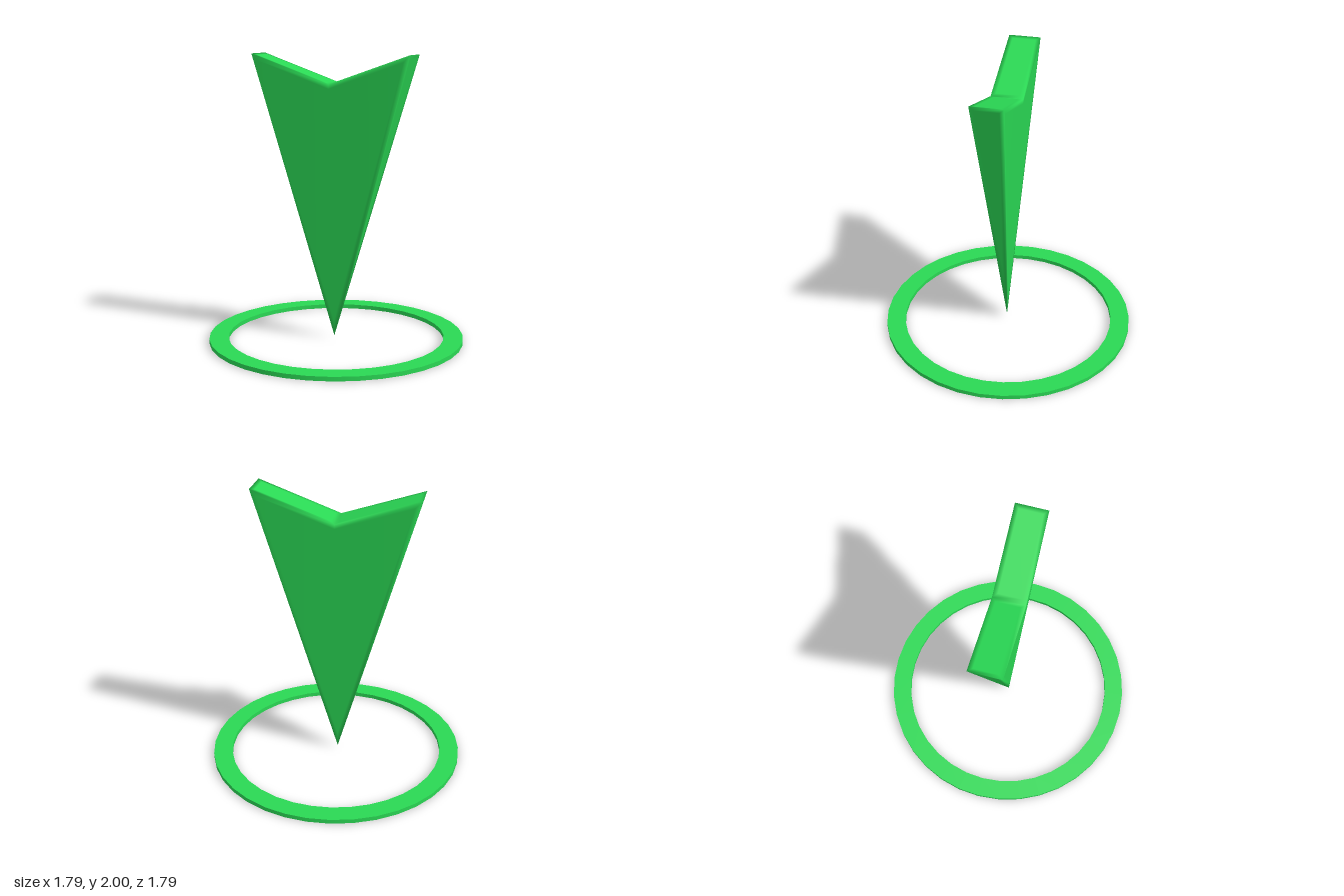
import * as THREE from 'three';
import { mergeVertices } from 'three/addons/utils/BufferGeometryUtils.js';

const EDGE = 0.03; // width of the softly shaded border along every edge

// Pushes one face: a fan over the inset polygon plus a border strip.
function addFace(out, pts) {
  const n = pts.length;
  const at = (i) => pts[(i + n) % n];
  const normal = n === 4
    ? at(2).clone().sub(at(0)).cross(at(3).clone().sub(at(1))).normalize()
    : at(1).clone().sub(at(0)).cross(at(2).clone().sub(at(0))).normalize();
  const inward = (i) => normal.clone().cross(at(i + 1).clone().sub(at(i))).normalize();
  const inset = pts.map((p, i) => {
    const a = inward(i - 1), b = inward(i);
    return a.clone().add(b).multiplyScalar(EDGE / (1 + a.dot(b))).add(p);
  });
  const tri = (...t) => t.forEach((p) => out.push(p.x, p.y, p.z));
  for (let i = 1; i < n - 1; i++) tri(inset[0], inset[i], inset[i + 1]);
  for (let i = 0; i < n; i++) {
    const j = (i + 1) % n;
    tri(pts[i], pts[j], inset[j]);
    tri(pts[i], inset[j], inset[i]);
  }
}

// Tapered arrowhead: notched on top, narrowing in both directions to its tip.
function pointerGeometry() {
  const half = 0.57, depth = 0.11;
  const v = (x, y, z) => new THREE.Vector3(x, y, z);
  const tip = v(0, 0.02, 0);
  const [rf, nf, lf] = [v(half, 2, depth), v(0, 1.8, depth), v(-half, 2, depth)];
  const [rb, nb, lb] = [v(half, 2, -depth), v(0, 1.8, -depth), v(-half, 2, -depth)];
  const out = [];
  [
    [tip, rf, nf, lf], // front
    [tip, lb, nb, rb], // back
    [tip, rb, rf], [tip, lf, lb], // sides
    [nf, rf, rb, nb], [lf, nf, nb, lb], // notched top
  ].forEach((face) => addFace(out, face));
  let geo = new THREE.BufferGeometry();
  geo.setAttribute('position', new THREE.Float32BufferAttribute(out, 3));
  geo = mergeVertices(geo, 1e-5);
  geo.computeVertexNormals();
  return geo;
}

// Flat ring; doubled profile corners keep its edges sharp.
function ringGeometry() {
  const outer = 0.895, inner = 0.76, h = 0.03;
  const p = (x, y) => new THREE.Vector2(x, y);
  return new THREE.LatheGeometry([
    p(outer, 0), p(outer, h), p(outer, h), p(inner, h), p(inner, h),
    p(inner, 0), p(inner, 0), p(outer, 0),
  ], 36);
}

export function createModel() {
  const model = new THREE.Group();
  model.name = 'locationMarker';
  const green = new THREE.MeshStandardMaterial({ color: 0x2ad854 });

  const pointer = new THREE.Mesh(pointerGeometry(), green);
  pointer.name = 'pointer';
  pointer.position.set(-0.01, 0, 0.01);

  const ring = new THREE.Mesh(ringGeometry(), green);
  ring.name = 'groundRing';

  model.add(pointer, ring);
  return model;
}
